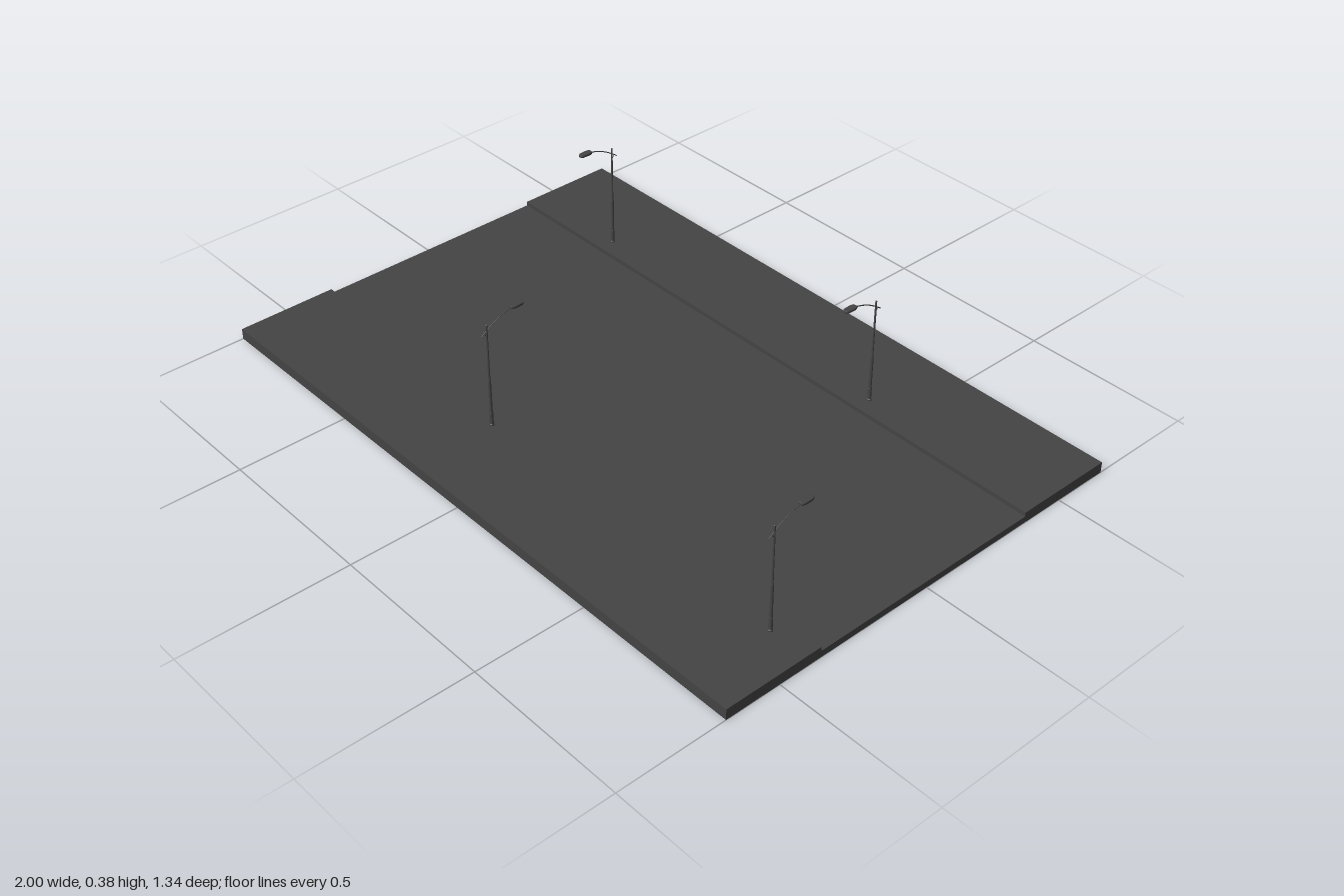
import * as THREE from 'three';

const material = new THREE.MeshStandardMaterial({ color: 0x444444 });

function add(parent, name, geometry, x = 0, y = 0, z = 0) {
  const mesh = new THREE.Mesh(geometry, material);
  mesh.name = name;
  mesh.position.set(x, y, z);
  parent.add(mesh);
  return mesh;
}

// Street lamp standing at its own origin, arm reaching toward -z
function streetLamp() {
  const lamp = new THREE.Group();
  lamp.name = 'streetLamp';

  // Stepped pole: foot, thick lower shaft, slim upper shaft
  const profile = [
    [0, 0], [0.007, 0], [0.007, 0.004], [0.0055, 0.006], [0.0055, 0.04],
    [0.0045, 0.043], [0.0042, 0.145], [0.003, 0.15], [0.0026, 0.322], [0, 0.324],
  ].map(([r, y]) => new THREE.Vector2(r, y));
  const pole = new THREE.LatheGeometry(profile, 12).toNonIndexed();
  pole.computeVertexNormals();
  add(lamp, 'pole', pole);

  // Curved arm crossing the pole and rising to the lamp head
  const arm = new THREE.CatmullRomCurve3([
    [0.018, 0.292], [0, 0.305], [-0.03, 0.323], [-0.06, 0.335], [-0.09, 0.342], [-0.115, 0.343],
  ].map(([z, y]) => new THREE.Vector3(0, y, z)));
  add(lamp, 'arm', new THREE.TubeGeometry(arm, 20, 0.0015, 6));

  // Short brace between the pole and the tail of the arm
  const brace = new THREE.LineCurve3(new THREE.Vector3(0, 0.287, 0), new THREE.Vector3(0, 0.299, 0.009));
  add(lamp, 'brace', new THREE.TubeGeometry(brace, 1, 0.001, 6));

  // Flat head, rounded at the tip in plan
  const outline = new THREE.Shape();
  outline.moveTo(-0.006, -0.021);
  outline.lineTo(0.006, -0.021);
  outline.quadraticCurveTo(0.01, -0.016, 0.01, -0.005);
  outline.lineTo(0.009, 0.014);
  outline.quadraticCurveTo(0.007, 0.021, 0, 0.021);
  outline.quadraticCurveTo(-0.007, 0.021, -0.009, 0.014);
  outline.lineTo(-0.01, -0.005);
  outline.quadraticCurveTo(-0.01, -0.016, -0.006, -0.021);
  const head = new THREE.ExtrudeGeometry(outline, {
    depth: 0.004, bevelThickness: 0.002, bevelSize: 0.002, bevelOffset: -0.002, bevelSegments: 2, curveSegments: 5,
  });
  head.rotateX(-Math.PI / 2);
  add(lamp, 'lampHead', head, 0, 0.34, -0.1);
  return lamp;
}

export function createModel() {
  const street = new THREE.Group();
  street.name = 'street';

  // Roadway between two raised pavements
  const kerb = 0.365, edge = 0.67, roadTop = 0.02, pavementTop = 0.033;
  add(street, 'road', new THREE.BoxGeometry(2, roadTop, kerb * 2), 0, roadTop / 2, 0);
  for (const side of [-1, 1]) {
    add(street, side > 0 ? 'frontPavement' : 'backPavement',
      new THREE.BoxGeometry(2, pavementTop, edge - kerb), 0, pavementTop / 2, side * (edge + kerb) / 2);
  }

  // Staggered lamps, each leaning over the road
  for (const [x, side] of [[-0.65, -1], [0.41, -1], [-0.18, 1], [0.88, 1]]) {
    const lamp = streetLamp();
    lamp.position.set(x, pavementTop, side * 0.415);
    if (side < 0) lamp.rotation.y = Math.PI;
    street.add(lamp);
  }
  return street;
}
